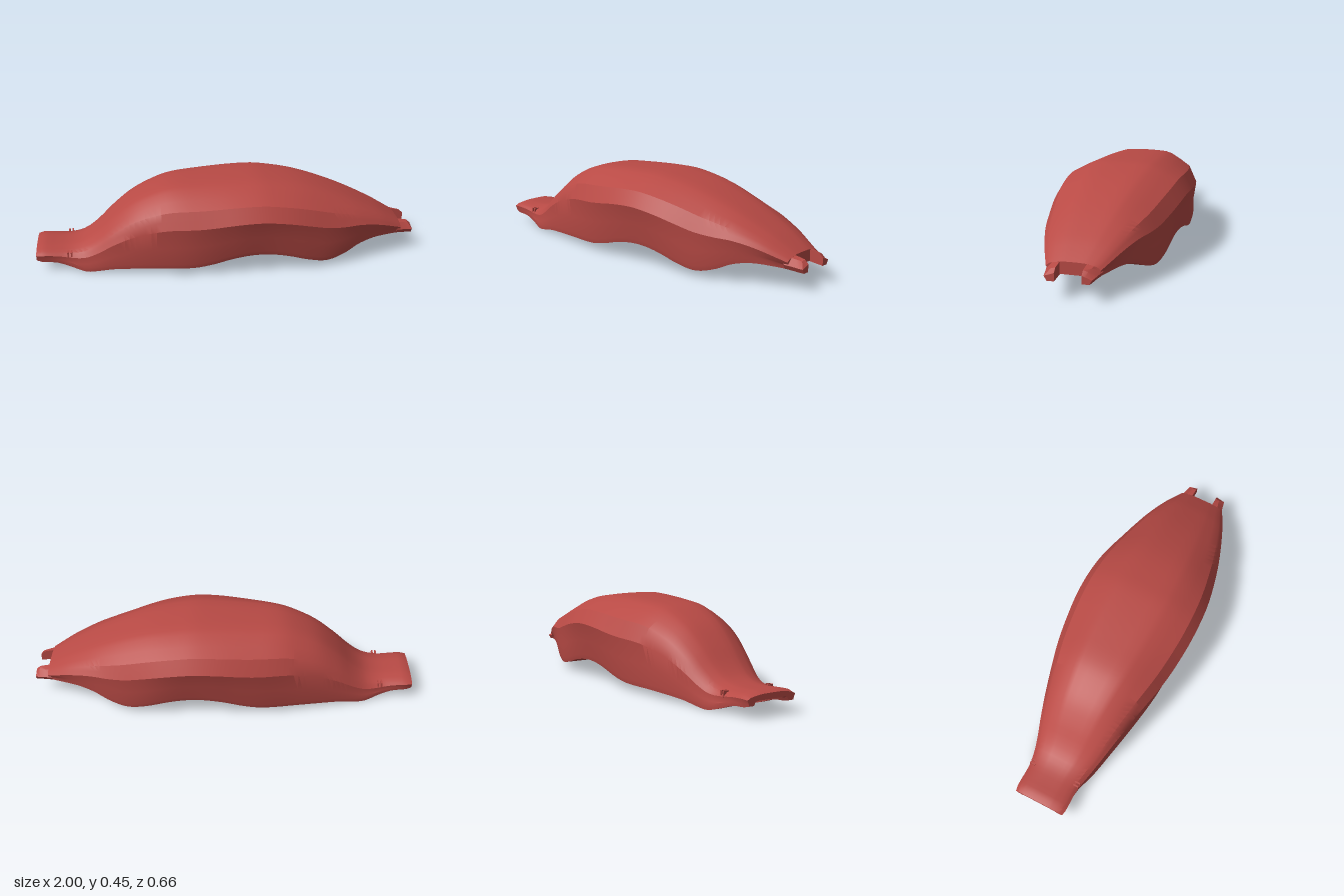
import * as THREE from 'three';
import { toCreasedNormals } from 'three/addons/utils/BufferGeometryUtils.js';

// Smooth lookup of [x, value] keys
function curve(keys) {
  const slope = (i) => {
    const a = keys[Math.max(i - 1, 0)], b = keys[Math.min(i + 1, keys.length - 1)];
    return (b[1] - a[1]) / (b[0] - a[0]);
  };
  return (x) => {
    let i = 0;
    while (i < keys.length - 2 && x > keys[i + 1][0]) i++;
    const [x0, y0] = keys[i], [x1, y1] = keys[i + 1];
    const h = x1 - x0, t = (x - x0) / h, t2 = t * t, t3 = t2 * t;
    return (2 * t3 - 3 * t2 + 1) * y0 + (t3 - 2 * t2 + t) * h * slope(i)
      + (3 * t2 - 2 * t3) * y1 + (t3 - t2) * h * slope(i + 1);
  };
}

// Closed loops of [z, y], counterclockwise seen from +x, joined and capped
function loft(xs, loops, crease) {
  const pos = [], n = loops[0].length;
  const put = (i, j) => pos.push(xs[i], loops[i][j % n][1], loops[i][j % n][0]);
  for (let i = 0; i < xs.length - 1; i++) {
    for (let j = 0; j < n; j++) {
      put(i, j); put(i, j + 1); put(i + 1, j + 1);
      put(i, j); put(i + 1, j + 1); put(i + 1, j);
    }
  }
  for (const end of [0, xs.length - 1]) {
    const flat = loops[end].map(([z, y]) => new THREE.Vector2(-z, y));
    for (const f of THREE.ShapeUtils.triangulateShape(flat, [])) {
      (end ? f : [f[2], f[1], f[0]]).forEach((j) => put(end, j));
    }
  }
  const geo = new THREE.BufferGeometry();
  geo.setAttribute('position', new THREE.Float32BufferAttribute(pos, 3));
  return toCreasedNormals(geo, crease);
}

const top = curve([[-1, 0.11], [-0.97, 0.12], [-0.9, 0.116], [-0.82, 0.116], [-0.75, 0.135], [-0.68, 0.185],
  [-0.6, 0.262], [-0.5, 0.342], [-0.4, 0.393], [-0.3, 0.425], [-0.15, 0.438], [0.1, 0.446], [0.2, 0.44],
  [0.4, 0.402], [0.6, 0.331], [0.8, 0.235], [0.9, 0.176], [0.93, 0.157]]);
const bottom = curve([[-1, 0.062], [-0.97, 0.054], [-0.9, 0.047], [-0.82, 0.02], [-0.75, 0], [-0.7, 0.005],
  [-0.6, 0.023], [-0.4, 0.035], [-0.2, 0.04], [-0.1, 0.058], [0, 0.085], [0.1, 0.1], [0.2, 0.098],
  [0.3, 0.08], [0.4, 0.051], [0.5, 0.034], [0.6, 0.057], [0.68, 0.092], [0.78, 0.108], [0.93, 0.097]]);
const width = curve([[-1, 0.136], [-0.97, 0.141], [-0.85, 0.142], [-0.75, 0.162], [-0.6, 0.203], [-0.4, 0.254],
  [-0.2, 0.301], [0, 0.326], [0.15, 0.33], [0.3, 0.32], [0.45, 0.293], [0.6, 0.255], [0.8, 0.185], [0.93, 0.128]]);
// Width of the lower edge as a share of the full width
const flare = curve([[-1, 0.93], [-0.85, 0.97], [-0.75, 1.02], [-0.6, 0.99], [-0.4, 0.95], [-0.2, 0.9],
  [0, 0.87], [0.2, 0.865], [0.5, 0.93], [0.8, 0.9], [0.93, 0.88]]);
const channel = curve([[-1, 0.1], [-0.75, 0.1], [-0.5, 0.11], [0, 0.125], [0.5, 0.125], [0.8, 0.1], [0.93, 0.07]]);
const depth = curve([[-1, 0.02], [-0.9, 0.025], [-0.82, 0.05], [-0.75, 0.07], [0, 0.07], [0.55, 0.07],
  [0.8, 0.025], [0.93, 0.001]]);

// Half section from the crown, over shoulder and waist, to the channel beneath; then mirrored
function bodySection(x) {
  const t = top(x), b = bottom(x), w = width(x), f = flare(x), c = channel(x), d = depth(x), h = t - b;
  const chamfer = Math.min(0.025, h * 0.25);
  const half = [
    [w * 0.2, t - h * 0.003], [w * 0.38, t - h * 0.012], [w * 0.49, t - h * 0.038],
    [w * 0.68, t - h * 0.118], [w * 0.865, t - h * 0.21], [w * 0.93, t - h * 0.31],
    [w, b + h * 0.58], [w * (0.4 + 0.6 * f), b + h * 0.31],
    [w * (f + 0.02), b + chamfer], [w * (f - 0.005), b],
    [c, b], [c - 0.01, b + d * 0.8], [c - 0.022, b + d],
  ];
  const mirrored = half.map(([z, y]) => [-z, y]).reverse();
  return [[0, t], ...half, [0, b + d], ...mirrored];
}

export function createModel() {
  const group = new THREE.Group();
  group.name = 'shell';
  const red = new THREE.MeshStandardMaterial({ color: 0xb84a45 });
  red.name = 'matte red';
  const add = (name, geo) => {
    const mesh = new THREE.Mesh(geo, red);
    mesh.name = name;
    group.add(mesh);
    return mesh;
  };

  // Main body with the channel underneath
  const xs = [];
  const steps = 72;
  for (let i = 0; i <= steps; i++) xs.push(-1 + (1.93 * i) / steps);
  add('body', loft(xs, xs.map(bodySection), 0.5));

  for (const side of [1, -1]) {
    // Front prongs on either side of the notch
    const prong = (inner, outer, low, high) => {
      const loop = [[inner, high], [outer - 0.03, high - 0.006], [outer, low + 0.022], [outer - 0.012, low], [inner, low]];
      return side > 0 ? loop : loop.map(([z, y]) => [-z, y]).reverse();
    };
    add(side > 0 ? 'leftProng' : 'rightProng', loft([0.91, 0.95, 0.98, 1], [
      prong(0.063, 0.132, 0.098, 0.158), prong(0.063, 0.121, 0.093, 0.15),
      prong(0.063, 0.115, 0.089, 0.144), prong(0.063, 0.11, 0.087, 0.125),
    ], 0.5));

    // Small ribs at the neck of the tail
    for (const x of [-0.838, -0.82]) {
      const rib = add('tailRib', new THREE.BoxGeometry(0.008, 0.032, 0.03));
      rib.position.set(x, 0.087, side * 0.128);
    }
  }
  return group;
}
